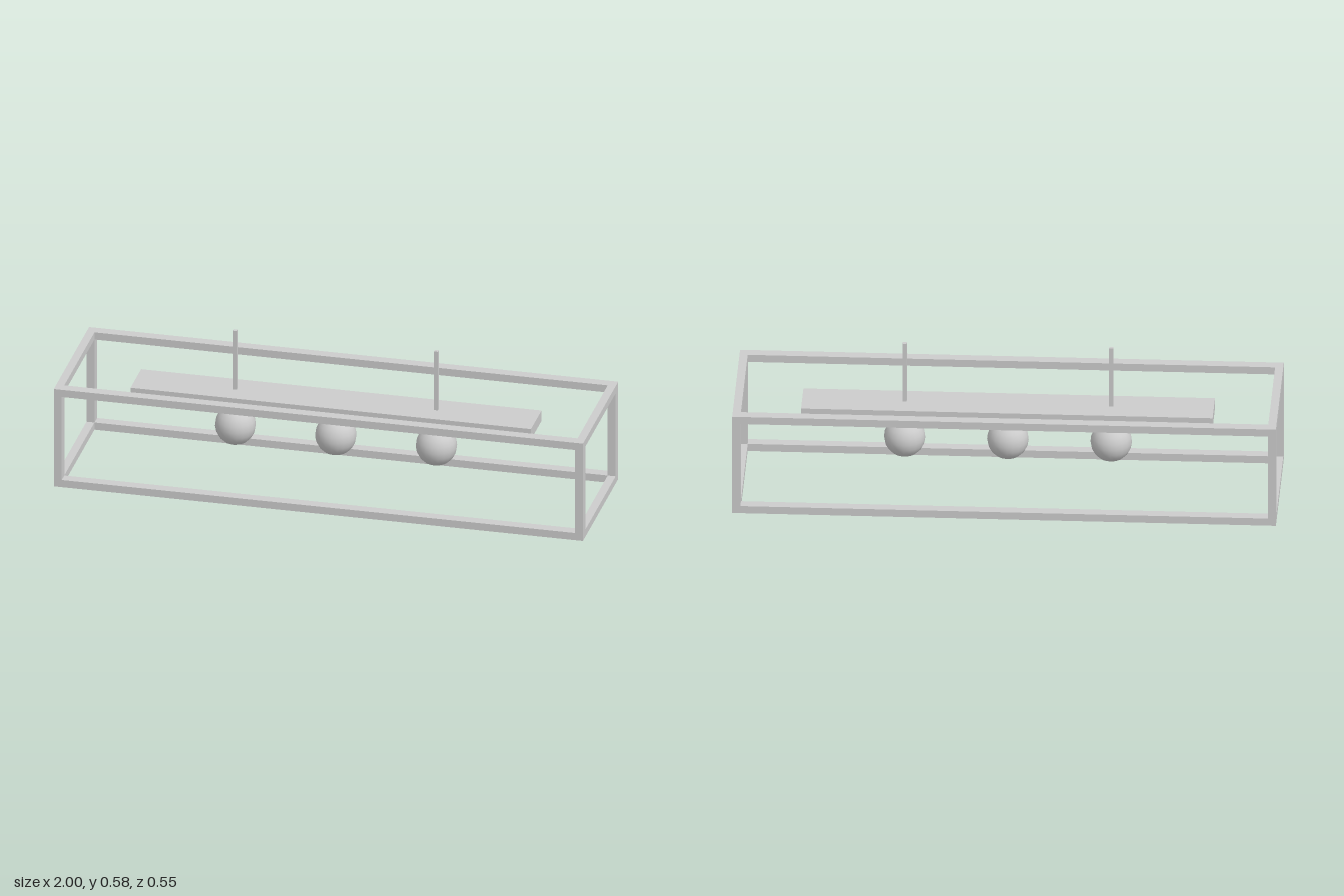
import * as THREE from 'three';

export function createModel() {
  const root = new THREE.Group();
  const material = new THREE.MeshStandardMaterial({ color: 0xcccccc });

  function add(parent, name, geometry, x, y, z) {
    const mesh = new THREE.Mesh(geometry, material);
    mesh.name = name;
    mesh.position.set(x, y, z);
    parent.add(mesh);
    return mesh;
  }
  const box = (w, h, d) => new THREE.BoxGeometry(w, h, d);

  // Open box frame: bars along x, posts along y, cross bars along z
  const H = 0.395, D = 0.275, tx = 0.03, ty = 0.029, tz = 0.04;
  const frame = new THREE.Group();
  frame.name = 'frame';
  root.add(frame);
  for (const s of [-1, 1]) {
    for (const y of [ty / 2, H - ty / 2]) {
      add(frame, 'longBar', box(2, ty, tz), 0, y, s * (D - tz / 2));
      add(frame, 'crossBar', box(tx, ty, 2 * (D - tz)), s * (1 - tx / 2), y, 0);
    }
    for (const t of [-1, 1]) {
      add(frame, 'cornerPost', box(tx, H - 2 * ty, tz), s * (1 - tx / 2), H / 2, t * (D - tz / 2));
    }
  }

  // Ceiling bar carrying the lamps, with two hanging rods
  add(root, 'lampBar', box(1.514, 0.042, 0.165), 0, 0.318, 0);
  for (const x of [-0.38, 0.38]) {
    add(root, 'hangingRod', box(0.015, 0.238, 0.013), x, 0.458, 0);
  }

  // Globe profile: sphere from the bottom pole up to a short tapered collar
  const R = 0.0765, profile = [];
  for (let i = 0; i <= 9; i++) {
    const a = (i / 9) * (Math.PI - 0.37);
    profile.push(new THREE.Vector2(R * Math.sin(a), -R * Math.cos(a)));
  }
  profile.push(new THREE.Vector2(0.023, 0.077), new THREE.Vector2(0, 0.077));
  const globe = new THREE.LatheGeometry(profile, 20);
  const stem = new THREE.CylinderGeometry(0.01, 0.01, 0.028, 12);

  for (const x of [-0.38, 0, 0.38]) {
    const lamp = new THREE.Group();
    lamp.name = 'lamp';
    lamp.position.x = x;
    root.add(lamp);
    add(lamp, 'globe', globe, 0, 0.195, 0);
    add(lamp, 'stem', stem, 0, 0.284, 0);
  }
  return root;
}
